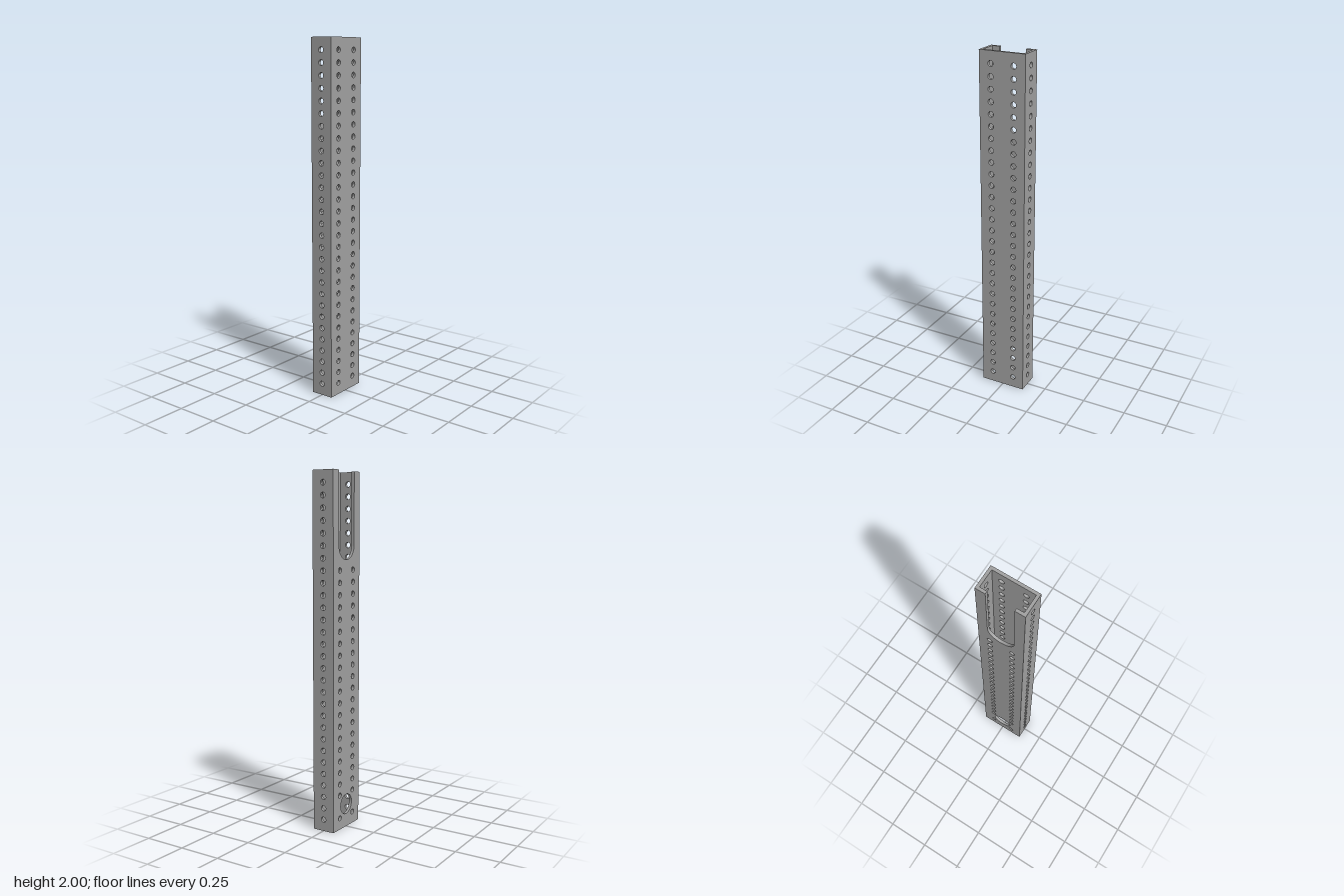
import * as THREE from 'three';
import { toCreasedNormals } from 'three/addons/utils/BufferGeometryUtils.js';

const W = 0.267, D = 0.133, H = 2, WALL = 0.0165;
const PITCH = H / 30, HOLE_R = 0.0155;
const SLOT_R = 0.077, SLOT_Y = 1.6;
const PORT_R = 0.058, PORT_Y = 2 * PITCH;

function addHole(shape, x, y, r) {
  const path = new THREE.Path();
  path.absarc(x, y, r, 0, Math.PI * 2, true);
  shape.holes.push(path);
}

// Columns of evenly pitched holes; skip(row) leaves a row out
function addHoleColumns(shape, columns, skip = () => false) {
  for (let row = 1; row < 30; row++) {
    if (skip(row)) continue;
    for (const x of columns) addHole(shape, x, row * PITCH, HOLE_R);
  }
}

function rectangle(width) {
  const s = new THREE.Shape();
  s.moveTo(-width / 2, 0);
  s.lineTo(width / 2, 0);
  s.lineTo(width / 2, H);
  s.lineTo(-width / 2, H);
  s.closePath();
  return s;
}

// Plate of wall thickness centred on its own z = 0
function makePlate(name, shape, material) {
  const geo = new THREE.ExtrudeGeometry(shape, { depth: WALL, bevelEnabled: false, curveSegments: 12 });
  geo.translate(0, 0, -WALL / 2);
  const mesh = new THREE.Mesh(toCreasedNormals(geo, Math.PI / 4), material);
  mesh.name = name;
  return mesh;
}

export function createModel() {
  const group = new THREE.Group();
  group.name = 'perforatedTube';
  const metal = new THREE.MeshStandardMaterial({ color: 0xa0a0a0 });
  metal.name = 'grey metal';

  // Front wall with two full columns of holes
  const front = rectangle(W);
  addHoleColumns(front, [-PITCH, PITCH]);
  const frontWall = makePlate('frontWall', front, metal);
  frontWall.position.z = D / 2 - WALL / 2;
  group.add(frontWall);

  // Back wall with a round-ended slot open at the top and a large port near the foot
  const back = new THREE.Shape();
  back.moveTo(-W / 2, 0);
  back.lineTo(W / 2, 0);
  back.lineTo(W / 2, H);
  back.lineTo(SLOT_R, H);
  back.lineTo(SLOT_R, SLOT_Y);
  back.absarc(0, SLOT_Y, SLOT_R, 0, -Math.PI, true);
  back.lineTo(-SLOT_R, H);
  back.lineTo(-W / 2, H);
  back.closePath();
  addHoleColumns(back, [-PITCH, PITCH], row => row === 2 || row > 22);
  addHole(back, 0, PORT_Y, PORT_R);
  const backWall = makePlate('backWall', back, metal);
  backWall.position.z = -D / 2 + WALL / 2;
  group.add(backWall);

  // Side walls with one column of holes each
  for (const side of [1, -1]) {
    const shape = rectangle(D - 2 * WALL);
    addHoleColumns(shape, [0]);
    const wall = makePlate(side > 0 ? 'leftWall' : 'rightWall', shape, metal);
    wall.rotation.y = side * Math.PI / 2;
    wall.position.x = side * (W / 2 - WALL / 2);
    group.add(wall);
  }

  return group;
}
